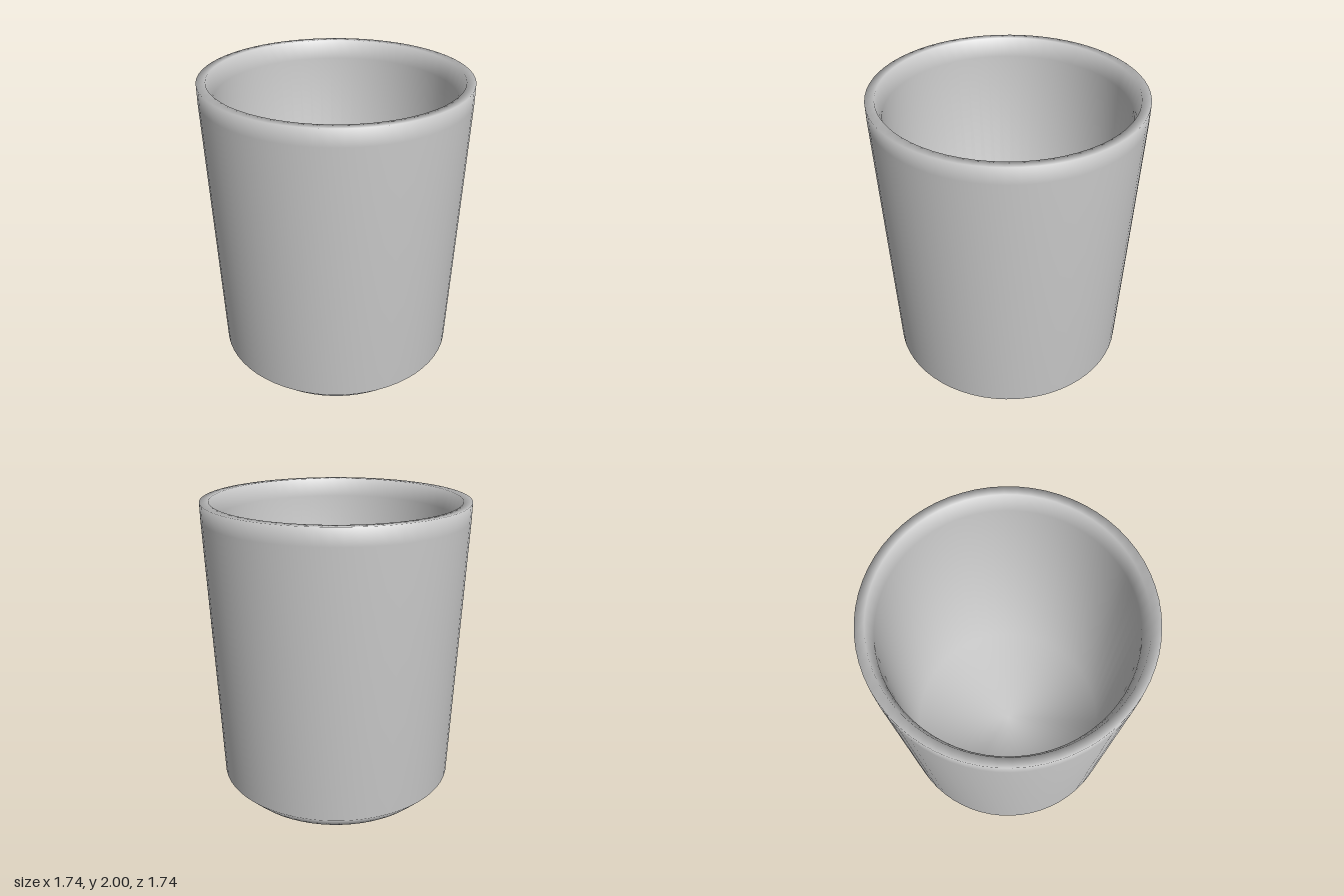
import * as THREE from 'three';

export function createModel() {
  const group = new THREE.Group();
  group.name = 'cup';
  const material = new THREE.MeshStandardMaterial({ color: 0xcccccc });

  // Half section: underside, foot chamfer, outer wall, rim, inner lip, inner wall, floor
  const profile = [
    [0, 0], [0.7, 0], [0.8, 0.1],
    [0.867, 1.89], [0.868, 2], [0.81, 2],
    [0.775, 1.88], [0.71, 0.1], [0, 0.1],
  ].map(([r, y]) => new THREE.Vector2(r, y));

  // Smooth tapered body turned around the y axis
  const body = new THREE.Mesh(new THREE.LatheGeometry(profile, 64), material);
  body.name = 'cupBody';
  group.add(body);
  return group;
}
